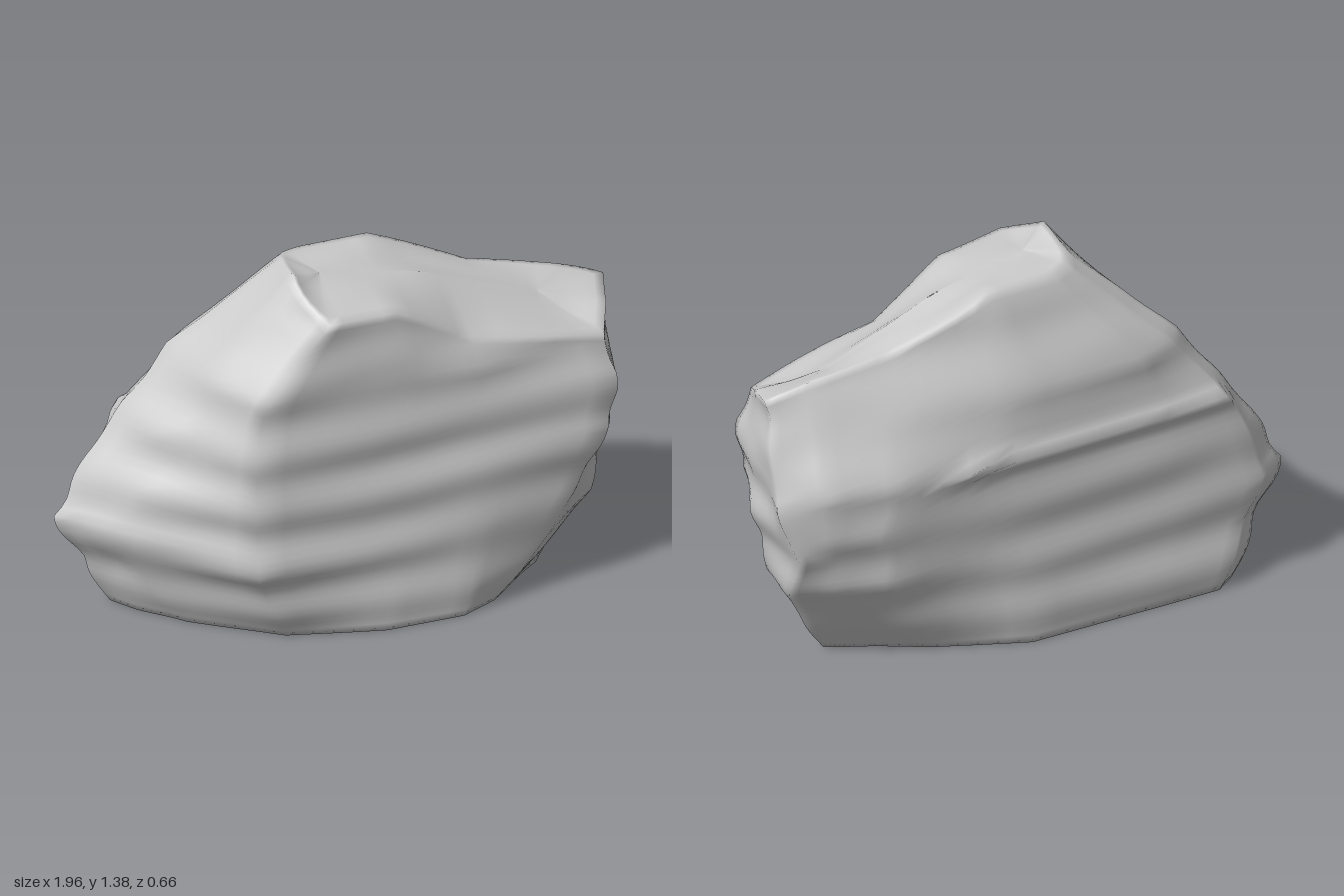
import * as THREE from 'three';

// Upright edges of the boulder, counterclockwise from the front left; each runs base to rim as [x, y, z].
const frontEdges = [
  [[-.28, 0, .22], [-.42, .3, .31], [-.43, .75, .315], [-.4, 1, .315], [-.16, 1.28, .315]],
  [[.06, 0, .305], [.08, .4, .315], [.1, .75, .315], [.12, 1, .315], [.1, 1.26, .29]],
  [[.34, 0, .31], [.4, .35, .315], [.42, .75, .315], [.4, .97, .305], [.38, 1.09, .26]],
  [[.48, 0, .25], [.71, .3, .275], [.88, .65, .305], [.91, .85, .285], [.88, .98, .25]],
  [[.6, 0, .15], [.87, .3, .15], [.91, .5, .15], [.94, .75, .14], [.93, 1.04, .13]],
  [[.7, 0, .06], [.89, .3, -.04], [.92, .48, -.15], [.98, .7, -.12], [.96, 1.07, 0]],
];
const backEdges = [
  [[.55, 0, -.02], [.78, .34, -.15], [.8, .55, -.21], [.83, .74, -.22], [.8, 1.12, -.04]],
  [[.38, 0, -.13], [.58, .35, -.24], [.6, .55, -.27], [.6, .75, -.28], [.5, 1.18, -.09]],
  [[.06, 0, -.28], [.1, .4, -.285], [.15, .75, -.285], [.1, .98, -.28], [.15, 1.33, -.14]],
  [[-.45, 0, -.29], [-.5, .4, -.285], [-.45, .75, -.285], [-.38, .97, -.285], [-.1, 1.33, -.14]],
  [[-.69, 0, -.285], [-.86, .4, -.28], [-.74, .72, -.27], [-.52, 1, -.24], [-.17, 1.34, -.11]],
  [[-.76, 0, -.23], [-.99, .4, -.2], [-.8, .7, -.2], [-.57, 1.02, -.18], [-.2, 1.36, -.05]],
  [[-.57, 0, 0], [-.77, .4, .03], [-.65, .72, .05], [-.52, 1, .06], [-.22, 1.385, .13]],
];
const edges = [...frontEdges, ...backEdges].map(e => e.map(p => new THREE.Vector3(...p)));
const STEPS = 5, LEVELS = 44, CAP = 7, COLS = edges.length * STEPS;

// Point on an edge at a given height
function atHeight(edge, y) {
  let k = 0;
  while (k < edge.length - 2 && y > edge[k + 1].y) k++;
  const a = edge[k], b = edge[k + 1];
  return a.clone().lerp(b, (y - a.y) / (b.y - a.y));
}

// Smooth seeded value noise
function hash(x, y, z) {
  const s = Math.sin(x * 127.1 + y * 311.7 + z * 74.7) * 43758.5453;
  return s - Math.floor(s);
}
function noise(x, y, z) {
  const [i, j, k] = [x, y, z].map(Math.floor);
  const [u, v, w] = [x - i, y - j, z - k].map(t => t * t * (3 - 2 * t));
  let sum = 0;
  for (let n = 0; n < 8; n++) {
    const a = n & 1, b = (n >> 1) & 1, c = n >> 2;
    sum += hash(i + a, j + b, k + c) * (a ? u : 1 - u) * (b ? v : 1 - v) * (c ? w : 1 - w);
  }
  return sum * 2 - 1;
}

// Point on the rock wall: u runs round the outline, t runs from base to rim
function wallPoint(u, t) {
  const n = Math.floor(u) % edges.length, f = u - Math.floor(u);
  const a = edges[n], b = edges[(n + 1) % edges.length];
  const y = t * THREE.MathUtils.lerp(a[4].y, b[4].y, f);
  const p = atHeight(a, Math.min(y, a[4].y)).lerp(atHeight(b, Math.min(y, b[4].y)), f);
  p.y = y;
  // Uneven horizontal layers, chipped ends and one sharp ledge along the back
  const side = Math.sign(p.z) * Math.min(1, Math.abs(p.z) / .2);
  const depth = (p.z > 0 ? .008 : .005) * (1 + .6 * noise(p.x * 2, y * 3, 5));
  const layer = depth * Math.cos((y - .1) / .235 * Math.PI * 2 + .8 * noise(p.x * 1.5, y * 2, p.z));
  const rough = .008 * noise(p.x * 2.5, y * 7, p.z * 4);
  const ledge = p.z < -.24 && p.x < .4 ? .036 * Math.exp(-(((y - .75) / .03) ** 2)) : 0;
  p.z += side * (layer + rough + ledge);
  const end = Math.min(1, Math.max(0, Math.abs(p.x) - .35) * 3);
  p.x += Math.sign(p.x) * end * (layer + .018 * noise(p.x * 3, y * 9, p.z * 7));
  return p;
}

// Point along the middle of the sloping top
function crest(x) {
  const c = THREE.MathUtils.clamp(x, -.1, .7);
  return new THREE.Vector3(c, 1.315 - .19 * c - .2 * Math.max(0, c - .25), .06);
}

// Closed skin: underside centre, wall rings, then rings closing over the top
function rockGeometry() {
  const pos = [], index = [];
  const rows = LEVELS + CAP;
  for (let j = 0; j <= rows; j++) {
    for (let i = 0; i < COLS; i++) {
      const p = wallPoint(i / STEPS, Math.min(1, j / LEVELS));
      if (j > LEVELS) {
        const s = (j - LEVELS) / CAP;
        p.lerp(crest(p.x), s);
        p.y += .014 * noise(p.x * 4, 1, p.z * 7) * Math.sin(s * Math.PI);
      }
      pos.push(p.x, p.y, p.z);
    }
  }
  const centre = pos.length / 3;
  pos.push(0, 0, 0);
  for (let i = 0; i < COLS; i++) {
    const n = (i + 1) % COLS;
    index.push(centre, n, i);
    for (let j = 0; j < rows; j++) {
      const a = j * COLS + i, b = j * COLS + n, c = b + COLS, d = a + COLS;
      index.push(a, b, c, a, c, d);
    }
  }
  const g = new THREE.BufferGeometry();
  g.setAttribute('position', new THREE.Float32BufferAttribute(pos, 3));
  g.setIndex(index);
  g.computeVertexNormals();
  return g;
}

export function createModel() {
  const group = new THREE.Group();
  group.name = 'boulder';
  const stone = new THREE.MeshStandardMaterial({ color: 0xcccccc });
  stone.name = 'grey stone';
  const rock = new THREE.Mesh(rockGeometry(), stone);
  rock.name = 'rockBody';
  group.add(rock);
  return group;
}
